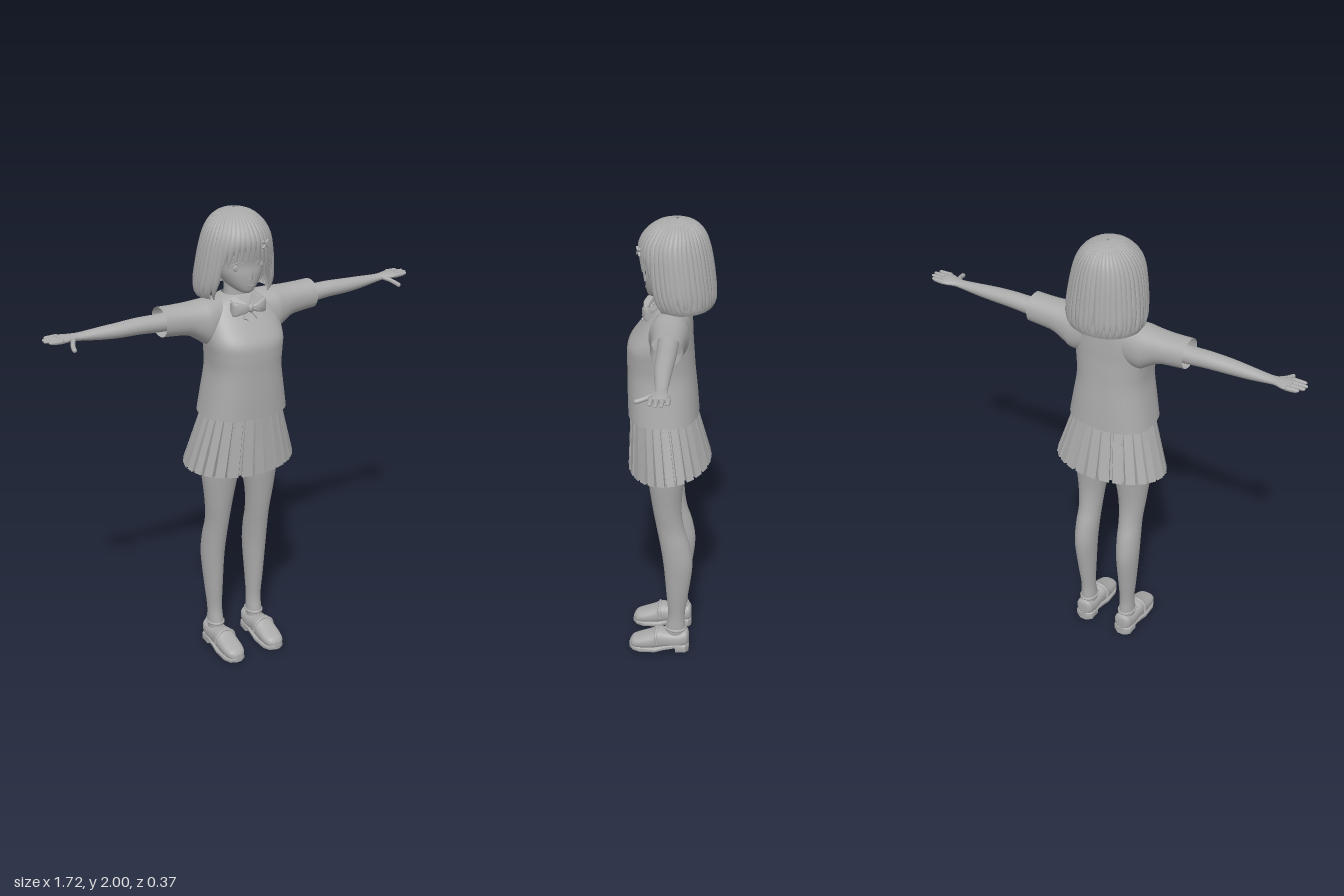
import * as THREE from 'three';
import { toCreasedNormals } from 'three/addons/utils/BufferGeometryUtils.js';

const V = (x, y, z) => new THREE.Vector3(x, y, z);

// Smooth sample of a table of rows, t from 0 to 1
function at(rows, t) {
  const f = Math.min(Math.max(t, 0), 1) * (rows.length - 1);
  const i = Math.min(Math.floor(f), rows.length - 2), u = f - i;
  const row = k => rows[Math.min(Math.max(k, 0), rows.length - 1)];
  const [a, b, c, d] = [row(i - 1), row(i), row(i + 1), row(i + 2)];
  return b.map((_, k) => b[k] + 0.5 * u * (c[k] - a[k] + u * (2 * a[k] - 5 * b[k] + 4 * c[k] - d[k] + u * (3 * (b[k] - c[k]) + d[k] - a[k]))));
}

// Surface through rings of points
function skin(rings, wrap = true, caps = true) {
  const n = rings[0].length, pts = rings.flat(), index = [];
  for (let i = 0; i < rings.length - 1; i++) {
    for (let j = 0; j < (wrap ? n : n - 1); j++) {
      const a = i * n + j, b = i * n + (j + 1) % n;
      index.push(a, b, b + n, a, b + n, a + n);
    }
  }
  if (caps) [0, rings.length - 1].forEach((r, end) => {
    const c = pts.length;
    pts.push(rings[r].reduce((s, p) => s.add(p), V(0, 0, 0)).divideScalar(n));
    for (let j = 0; j < n; j++) {
      const a = r * n + j, b = r * n + (j + 1) % n;
      end ? index.push(c, a, b) : index.push(c, b, a);
    }
  });
  const g = new THREE.BufferGeometry().setFromPoints(pts);
  g.setIndex(index);
  g.computeVertexNormals();
  return g;
}

// Rounded ring from a row [position, uLow, uHigh, vLow, vHigh] along an axis
function ring([p, u0, u1, v0, v1], axis, n, e) {
  return Array.from({ length: n }, (_, j) => {
    const a = j / n * Math.PI * 2, s = Math.sin(a), c = Math.cos(a);
    const u = (u0 + u1) / 2 + (u1 - u0) / 2 * Math.sign(s) * Math.abs(s) ** (2 / e);
    const v = (v0 + v1) / 2 + (v1 - v0) / 2 * Math.sign(c) * Math.abs(c) ** (2 / e);
    return axis === 'y' ? V(u, p, v) : axis === 'x' ? V(p, v, u) : V(v, u, p);
  });
}
function loft(rows, axis, { n = 32, e = 2, k = 5, caps = true } = {}) {
  const m = (rows.length - 1) * k;
  return skin(Array.from({ length: m + 1 }, (_, i) => ring(at(rows, i / m), axis, n, e)), true, caps);
}
const wide = rows => rows.map(([y, r, back, front]) => [y, -r, r, back, front]);

export function createModel() {
  const model = new THREE.Group();
  const grey = new THREE.MeshStandardMaterial({ color: 0xaaaaaa, side: THREE.DoubleSide });
  const add = (name, geometry, parent = model) => {
    const m = new THREE.Mesh(geometry, grey);
    m.name = name;
    parent.add(m);
    return m;
  };
  const tube = (name, pts, r, parent) => add(name, new THREE.TubeGeometry(new THREE.CatmullRomCurve3(pts), 12, r, 8), parent);
  let seed = 7;
  const rand = () => (seed = seed * 16807 % 2147483647) / 2147483647;

  // Sweater body
  add('sweater', loft(wide([
    [1.155, 0.188, -0.112, 0.184], [1.25, 0.172, -0.105, 0.186], [1.35, 0.157, -0.095, 0.186],
    [1.42, 0.160, -0.09, 0.187], [1.475, 0.166, -0.086, 0.18], [1.53, 0.165, -0.084, 0.143],
    [1.59, 0.152, -0.08, 0.097], [1.63, 0.12, -0.072, 0.066], [1.652, 0.06, -0.06, 0.045]]), 'y', { n: 48, e: 2.5, caps: false }));

  // Neck and head
  add('neck', loft(wide([[1.56, 0.06, -0.07, 0.04], [1.63, 0.045, -0.065, 0.025], [1.72, 0.042, -0.065, 0.025]]), 'y'));
  add('head', loft(wide([
    [1.668, 0.012, 0.05, 0.088], [1.68, 0.038, 0, 0.101], [1.71, 0.07, -0.06, 0.108], [1.75, 0.094, -0.09, 0.11],
    [1.79, 0.106, -0.11, 0.107], [1.85, 0.114, -0.125, 0.114], [1.91, 0.105, -0.115, 0.105], [1.96, 0.06, -0.08, 0.05]]), 'y', { e: 2.2 }));
  const nose = add('nose', new THREE.ConeGeometry(0.012, 0.035, 12));
  nose.position.set(0, 1.75, 0.112);
  nose.rotation.x = 0.45;
  tube('mouth', [V(-0.014, 1.706, 0.105), V(0, 1.704, 0.109), V(0.014, 1.706, 0.105)], 0.002);

  // Hair shell
  const hair = new THREE.Group();
  hair.name = 'hair';
  model.add(hair);
  const hairRows = wide([
    [1.635, 0.158, -0.172, 0.09], [1.67, 0.174, -0.183, 0.11], [1.74, 0.168, -0.176, 0.13], [1.83, 0.155, -0.165, 0.14],
    [1.9, 0.138, -0.15, 0.136], [1.95, 0.11, -0.128, 0.105], [1.985, 0.066, -0.088, 0.055], [1.998, 0.008, -0.03, -0.01]]);
  const onHair = (a, t, s = 1) => {
    const [y, , rx, z0, z1] = at(hairRows, t);
    return V(rx * s * Math.sin(a), y, (z0 + z1) / 2 + (z1 - z0) / 2 * s * Math.cos(a));
  };
  add('hairShell', skin(Array.from({ length: 25 }, (_, i) => Array.from({ length: 49 }, (_, j) =>
    onHair(1.05 + j / 48 * (Math.PI * 2 - 2.1), 0.05 + i / 24 * 0.95, 0.95))), false, false), hair);

  // Hair strands, tapering to a point
  function strand(name, angle, tEnd, width, sweep, thick) {
    const steps = 18, rings = [];
    for (let i = 0; i <= steps; i++) {
      const f = i / steps, t = tEnd + f * (1 - tEnd), a = angle + sweep * (1 - f) ** 2;
      const taper = Math.min(1, 0.08 + f * 4), r = at(hairRows, t)[2];
      const c = onHair(a, t, 1 - thick / Math.max(r, 0.05));
      const side = V(Math.cos(a), 0, -Math.sin(a)), out = V(Math.sin(a), 0, Math.cos(a));
      const th = thick * Math.min(1, taper, r / 0.05);
      rings.push(Array.from({ length: 8 }, (_, j) => {
        const b = j / 8 * Math.PI * 2;
        return c.clone().addScaledVector(side, width * r * taper * Math.sin(b)).addScaledVector(out, th * Math.cos(b));
      }));
    }
    add(name, skin(rings), hair);
  }
  const count = 32, step = (Math.PI * 2 - 1.9) / (count - 1);
  for (let i = 0; i < count; i++) {
    strand('hairStrand', 0.95 + i * step, rand() * 0.08, step * 0.72, (rand() - 0.5) * 0.1, 0.009 + rand() * 0.006);
  }
  for (let i = 0; i < 13; i++) {
    const f = (i - 6) / 6;
    strand('fringeStrand', f * 0.9, 0.44 - 0.16 * Math.abs(f) + (rand() - 0.5) * 0.07, 0.115, f * 0.14, 0.011);
  }
  for (const turn of [-0.7, 0.7]) {
    const clip = add('hairClip', new THREE.BoxGeometry(0.045, 0.008, 0.008), hair);
    clip.position.set(0.055, 1.875, 0.132);
    clip.rotation.set(0, 0.4, turn);
  }

  // Pleated skirt
  const pleats = 26, profile = [[0, 1], [0.74, 1.01], [0.78, 0.9], [0.97, 0.9]], skirtRings = [];
  for (let i = 0; i <= 4; i++) {
    const f = i / 4, pts = [];
    for (let p = 0; p < pleats; p++) for (const [o, depth] of profile) {
      const a = (p + o - 0.37) / pleats * Math.PI * 2, d = 1 - (1 - depth) * (0.3 + 0.7 * f);
      const hem = 0.918 - 0.018 * Math.cos(a);
      const rx = 0.172 + 0.078 * f, z0 = -0.1 - 0.066 * f, z1 = 0.175 + 0.011 * f;
      pts.push(V(rx * d * Math.sin(a), hem + (1.18 - hem) * (1 - f), (z0 + z1) / 2 + (z1 - z0) / 2 * d * Math.cos(a)));
    }
    skirtRings.unshift(pts);
  }
  add('skirt', toCreasedNormals(skin(skirtRings, true, false), 0.3));
  add('hips', loft(wide([[0.96, 0.1, -0.05, 0.09], [0.99, 0.165, -0.085, 0.115], [1.08, 0.165, -0.09, 0.13], [1.17, 0.15, -0.09, 0.14]]), 'y'));

  // Bow knot
  const knot = add('bowKnot', new THREE.SphereGeometry(0.016, 16, 12));
  knot.position.set(0, 1.61, 0.108);
  knot.scale.set(0.9, 1.1, 0.8);

  // Mirrored parts
  for (const side of [1, -1]) {
    const half = new THREE.Group();
    half.name = side > 0 ? 'leftSide' : 'rightSide';
    half.scale.x = side;
    model.add(half);

    // Sleeve and arm
    add('sleeve', loft([
      [0.08, -0.07, 0.07, 1.47, 1.648], [0.15, -0.078, 0.085, 1.455, 1.647], [0.19, -0.075, 0.078, 1.478, 1.644],
      [0.24, -0.07, 0.068, 1.508, 1.641], [0.3, -0.067, 0.063, 1.517, 1.641], [0.358, -0.066, 0.062, 1.522, 1.643]], 'x', { e: 2.2, caps: false }), half);
    add('arm', loft([
      [0.26, -0.045, 0.04, 1.54, 1.62], [0.36, -0.044, 0.036, 1.542, 1.616], [0.45, -0.042, 0.034, 1.549, 1.617],
      [0.54, -0.038, 0.031, 1.552, 1.613], [0.62, -0.036, 0.022, 1.558, 1.608], [0.7, -0.034, 0.013, 1.569, 1.602],
      [0.735, -0.037, 0.014, 1.574, 1.602], [0.775, -0.051, 0.028, 1.576, 1.603], [0.8, -0.05, 0.028, 1.582, 1.602]], 'x', { n: 24 }), half);

    // Fingers and thumb
    [[-0.043, 0.84], [-0.021, 0.856], [0, 0.858], [0.021, 0.846]].forEach(([z, tip]) => add('finger', loft([
      [0.785, z - 0.01, z + 0.01, 1.581, 1.602], [0.82, z - 0.009, z + 0.009, 1.583, 1.601],
      [tip - 0.006, z - 0.007, z + 0.007, 1.588, 1.6], [tip, z - 0.002, z + 0.002, 1.592, 1.596]], 'x', { n: 10, k: 3 }), half));
    tube('thumb', [V(0.73, 1.588, 0), V(0.752, 1.58, 0.032), V(0.763, 1.572, 0.06), V(0.766, 1.568, 0.076)], 0.0095, half);
    const tip = add('thumbTip', new THREE.SphereGeometry(0.0095, 10, 8), half);
    tip.position.set(0.766, 1.568, 0.076);

    // Leg
    add('leg', loft([
      [0.04, 0.068, 0.132, -0.065, 0.03], [0.12, 0.066, 0.134, -0.064, 0.022], [0.19, 0.069, 0.133, -0.062, 0.012],
      [0.3, 0.065, 0.143, -0.077, 0.02], [0.45, 0.058, 0.154, -0.095, 0.032], [0.55, 0.054, 0.154, -0.082, 0.046],
      [0.64, 0.05, 0.152, -0.056, 0.062], [0.75, 0.038, 0.163, -0.046, 0.08], [0.9, 0.01, 0.18, -0.06, 0.1],
      [1.02, 0.003, 0.175, -0.08, 0.11]], 'y'), half);

    // Shoe upper, strap and sole
    add('shoe', loft([
      [-0.08, 0.04, 0.09, 0.08, 0.12], [-0.068, 0.03, 0.108, 0.062, 0.138], [-0.03, 0.02, 0.1, 0.057, 0.143],
      [0.02, 0.02, 0.102, 0.056, 0.145], [0.055, 0.015, 0.108, 0.053, 0.148], [0.09, 0.012, 0.09, 0.052, 0.149],
      [0.14, 0.012, 0.07, 0.054, 0.146], [0.17, 0.012, 0.058, 0.064, 0.136], [0.184, 0.015, 0.04, 0.085, 0.116]], 'z', { e: 2.4 }), half);
    tube('shoeStrap', [V(0.053, 0.05, 0.06), V(0.06, 0.085, 0.066), V(0.1, 0.106, 0.062), V(0.141, 0.085, 0.066), V(0.148, 0.05, 0.06)], 0.008, half);
    tube('sock', Array.from({ length: 13 }, (_, i) => V(0.1 + 0.035 * Math.sin(i / 6 * Math.PI), 0.115, -0.022 + 0.044 * Math.cos(i / 6 * Math.PI))), 0.006, half);
    add('sole', toCreasedNormals(loft([
      [-0.08, 0, 0.04, 0.078, 0.122], [-0.066, 0, 0.045, 0.058, 0.142], [-0.022, 0, 0.045, 0.055, 0.145],
      [-0.02, 0.025, 0.045, 0.055, 0.145], [0.03, 0.014, 0.036, 0.053, 0.147], [0.07, 0.001, 0.027, 0.05, 0.15],
      [0.14, 0, 0.025, 0.051, 0.149], [0.17, 0.002, 0.026, 0.063, 0.137], [0.187, 0.008, 0.028, 0.085, 0.116]], 'z', { n: 24, e: 5, k: 1 }), 0.7), half);

    // Bow wing and ribbon end
    add('bowWing', toCreasedNormals(loft([
      [0.004, 0.097, 0.113, 1.6, 1.62], [0.03, 0.092, 0.122, 1.592, 1.63], [0.068, 0.078, 0.112, 1.583, 1.64],
      [0.078, 0.078, 0.1, 1.582, 1.64]], 'x', { n: 20, e: 4, k: 2 }), 0.7), half);
    const ribbon = add('bowEnd', new THREE.BoxGeometry(0.022, 0.045, 0.006), half);
    ribbon.position.set(0.02, 1.588, 0.112);
    ribbon.rotation.set(-0.6, 0, 0.5);

    // Shirt collar
    const flap = new THREE.Shape([[0.002, 0], [0.05, -0.012], [0.062, 0.04], [0.045, 0.05]].map(p => new THREE.Vector2(...p)));
    const collar = add('collar', new THREE.ExtrudeGeometry(flap, { depth: 0.006, bevelEnabled: false }), half);
    collar.position.set(0, 1.618, 0.088);
    collar.rotation.set(-0.75, 0.25, 0);

    // Eye, lash and brow
    const eye = add('eye', new THREE.SphereGeometry(1, 16, 12), half);
    eye.position.set(0.05, 1.782, 0.09);
    eye.scale.set(0.022, 0.017, 0.006);
    tube('lash', [V(0.024, 1.792, 0.104), V(0.048, 1.804, 0.098), V(0.078, 1.79, 0.082)], 0.0028, half);
    tube('brow', [V(0.028, 1.826, 0.108), V(0.052, 1.832, 0.1), V(0.076, 1.826, 0.088)], 0.002, half);
  }
  return model;
}
